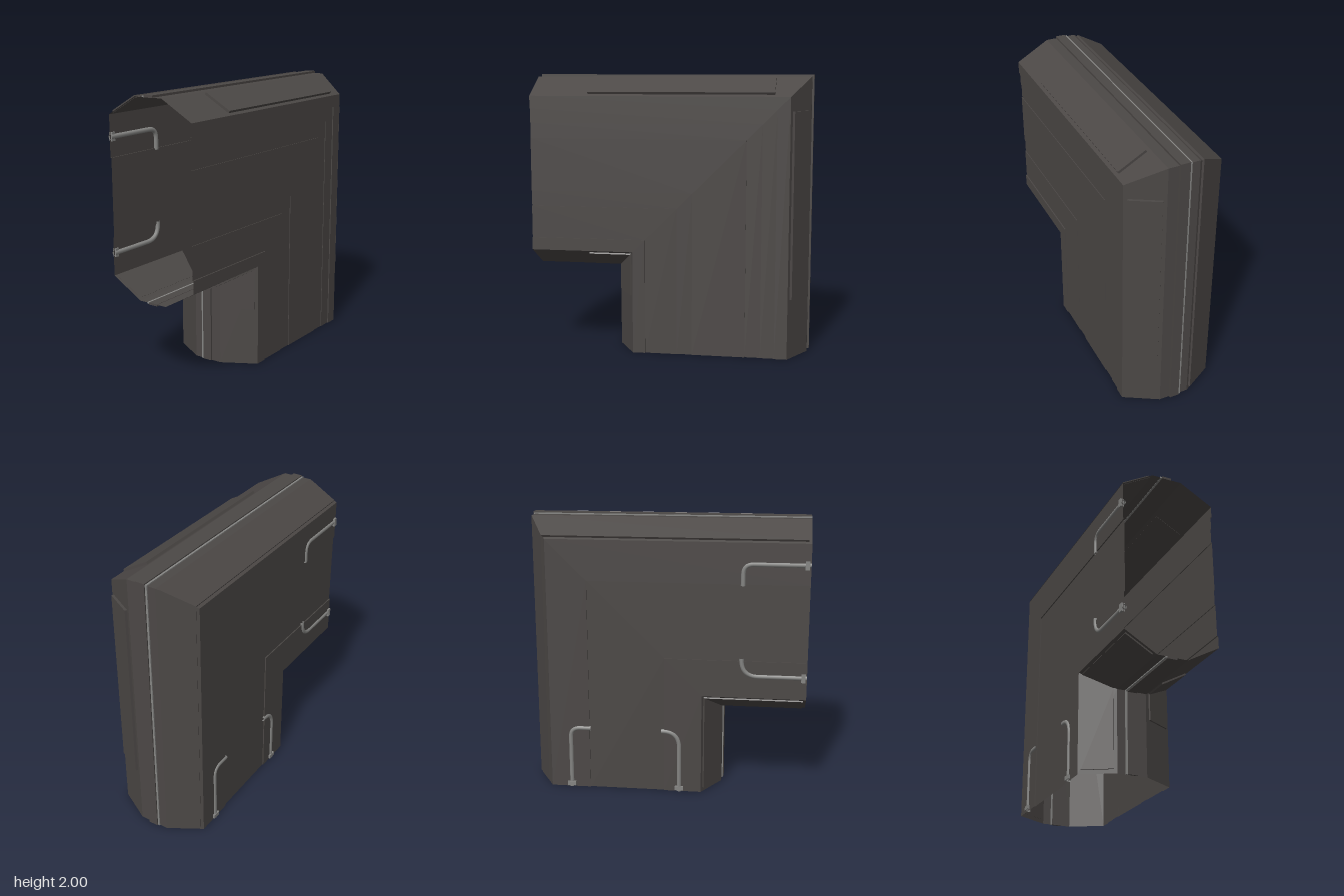
import * as THREE from 'three';

// Stations along the bend; t is the depth measured inward from the outer corner
const across = x => t => [x, 2 - t];
const corner = t => [1 - t, 2 - t];
const down = y => t => [1 - t, y];

// Sweep a closed (t, z) profile through the stations, mitred at the corner
function sweep(profile, stations, caps) {
  const pos = [];
  const rows = stations.map(s => profile.map(([t, z]) => [...s(t), z]));
  const n = profile.length;
  for (let i = 0; i < rows.length - 1; i++) {
    for (let j = 0; j < n; j++) {
      const k = (j + 1) % n;
      const a = rows[i][j], b = rows[i][k], c = rows[i + 1][k], d = rows[i + 1][j];
      pos.push(...a, ...b, ...c, ...a, ...c, ...d);
    }
  }
  if (caps) {
    const s = rows[0], e = rows[rows.length - 1];
    for (let j = 1; j < n - 1; j++) {
      pos.push(...s[0], ...s[j + 1], ...s[j], ...e[0], ...e[j], ...e[j + 1]);
    }
  }
  const geo = new THREE.BufferGeometry();
  geo.setAttribute('position', new THREE.Float32BufferAttribute(pos, 3));
  geo.computeVertexNormals();
  return geo;
}

// Raised slab profile standing h above the line a-b
function slab(a, b, h) {
  const dt = b[0] - a[0], dz = b[1] - a[1], l = Math.hypot(dt, dz);
  const off = ([t, z], k) => [t - dz / l * k, z + dt / l * k];
  return [off(a, h), off(b, h), off(b, -0.002), off(a, -0.002)];
}

export function createModel() {
  const group = new THREE.Group();
  const wallMat = new THREE.MeshStandardMaterial({ color: 0x4c4846, side: THREE.DoubleSide });
  wallMat.name = 'dark warm grey';
  const pipeMat = new THREE.MeshStandardMaterial({ color: 0x858583, side: THREE.DoubleSide });
  pipeMat.name = 'pipe grey';
  const add = (name, geo, mat = wallMat) => {
    const mesh = new THREE.Mesh(geo, mat);
    mesh.name = name;
    group.add(mesh);
    return mesh;
  };

  // Hollow corridor shell, open at both ends, with stepped and grooved walls
  const shell = [
    [0.015, -0.11], [0.015, 0.11], [0.15, 0.348],
    [0.24, 0.348], [0.24, 0.34], [0.34, 0.34], [0.34, 0.335], [0.45, 0.335], [0.45, 0.34],
    [0.83, 0.34], [0.83, 0.335], [0.94, 0.335], [0.94, 0.34], [1.17, 0.34], [1.17, 0.348],
    [1.26, 0.348], [1.395, 0.11], [1.395, -0.11], [1.26, -0.34],
    [0.99, -0.34], [0.99, -0.332], [0.44, -0.332], [0.44, -0.34], [0.15, -0.34],
  ];
  const full = [across(-1), corner, down(0)];
  add('corridorShell', sweep(shell, full, false));

  // Centre ribs on the outer and inner sides, each with a thin cable beside it
  add('outerRib', sweep(slab([0.015, -0.035], [0.015, 0.035], 0.015), full, true));
  add('innerRib', sweep(slab([1.395, 0.035], [1.395, -0.035], 0.012), full, true));
  add('outerCable', sweep(slab([0.015, -0.05], [0.015, -0.036], 0.008), full, true), pipeMat);
  add('innerCable', sweep(slab([1.395, -0.036], [1.395, -0.05], 0.008), full, true), pipeMat);

  // Raised plates on the slanted faces
  const frontOuter = slab([0.028, 0.132], [0.137, 0.325], 0.018);
  add('frontTopPlate', sweep(frontOuter, [across(-0.58), across(0.74)], true));
  add('frontSidePlate', sweep(frontOuter, [down(1.75), down(0.43)], true));
  add('frontInnerPlate',
    sweep(slab([1.272, 0.325], [1.378, 0.14], 0.012), [across(-0.58), corner, down(0.42)], true));
  const inset = [across(-0.98), corner, down(0.03)];
  add('backOuterPlate', sweep(slab([0.139, -0.322], [0.025, -0.127], 0.015), inset, true));
  add('backInnerPlate', sweep(slab([1.384, -0.13], [1.272, -0.32], 0.01), inset, true));

  // Back pipes: run in from each open end, then bend into the recessed panel
  const places = {
    horizontal: (s, t) => new THREE.Vector3(-1 + s, 2 - t, -0.335),
    vertical: (s, t) => new THREE.Vector3(1 - t, s, -0.335),
  };
  for (const [dir, at] of Object.entries(places)) {
    for (const [t0, t1, r] of [[0.3, 0.45, 0.07], [1.1, 0.97, 0.12]]) {
      const sEnd = 0.46, side = Math.sign(t1 - t0);
      const path = new THREE.CurvePath();
      path.add(new THREE.LineCurve3(at(0, t0), at(sEnd - r, t0)));
      path.add(new THREE.QuadraticBezierCurve3(
        at(sEnd - r, t0), at(sEnd, t0), at(sEnd, t0 + side * r)));
      path.add(new THREE.LineCurve3(at(sEnd, t0 + side * r), at(sEnd, t1)));
      add(dir + 'Pipe', new THREE.TubeGeometry(path, 40, 0.017, 8, false), pipeMat);
      const clamp = add(dir + 'PipeClamp', dir === 'vertical'
        ? new THREE.BoxGeometry(0.06, 0.03, 0.026)
        : new THREE.BoxGeometry(0.03, 0.06, 0.026), pipeMat);
      clamp.position.copy(at(0.025, t0)).setZ(-0.342);
    }
  }
  return group;
}
